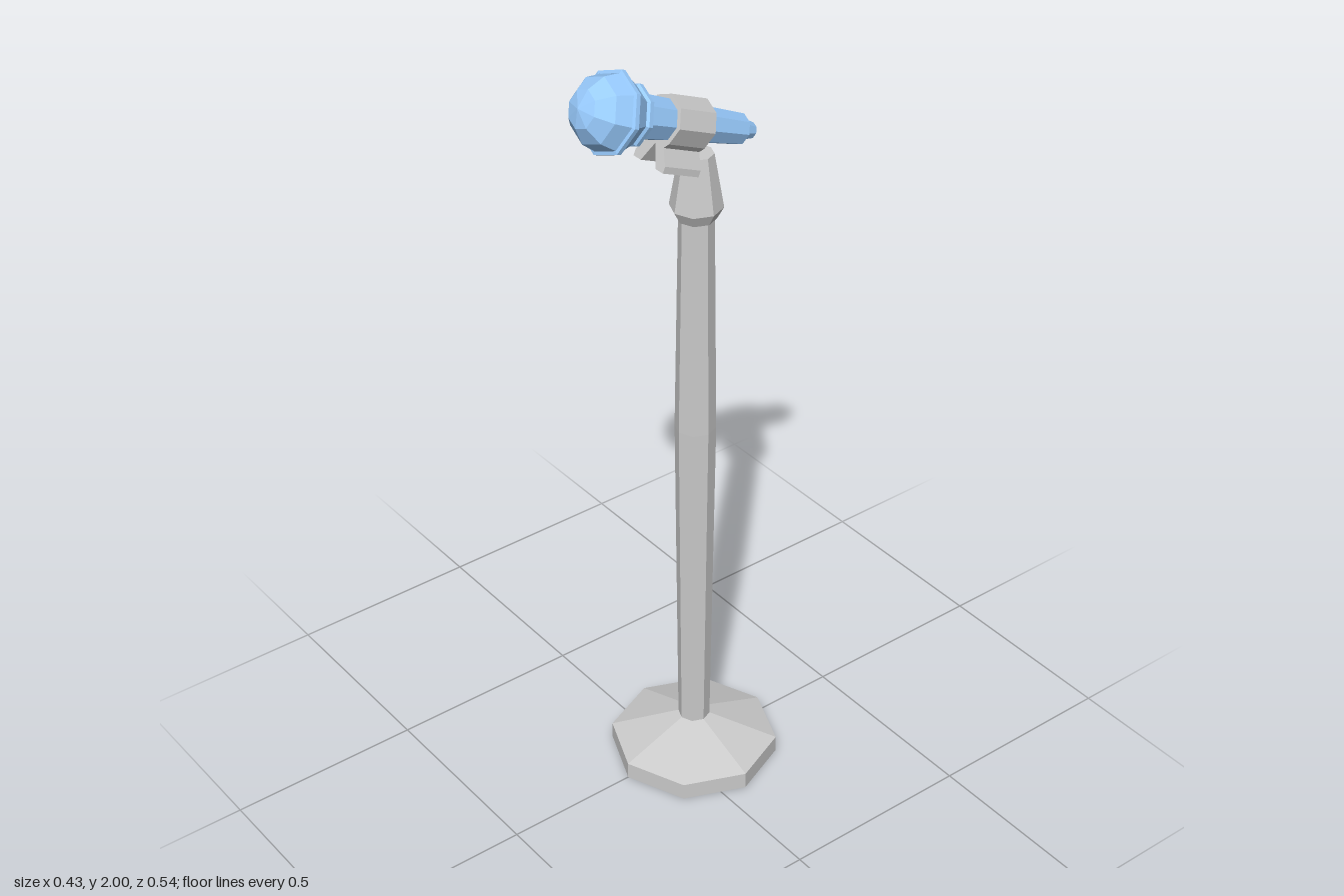
import * as THREE from 'three';

const grey = new THREE.MeshStandardMaterial({ color: 0xcccccc, flatShading: true, side: THREE.DoubleSide });
const blue = new THREE.MeshStandardMaterial({ color: 0x99ccff, flatShading: true, side: THREE.DoubleSide });

// Eight-sided turned part from [radius, height] pairs, bottom to top
function turned(name, profile, material) {
  const points = profile.map(([r, y]) => new THREE.Vector2(r, y));
  const mesh = new THREE.Mesh(new THREE.LatheGeometry(points, 8), material);
  mesh.name = name;
  return mesh;
}

export function createModel() {
  const model = new THREE.Group();
  model.name = 'microphoneOnStand';

  // Stand: weighted base, slightly swollen pole, tapered collar
  const stand = new THREE.Group();
  stand.name = 'stand';
  stand.position.z = -0.06;
  stand.add(
    turned('base', [[0, 0], [0.213, 0], [0.213, 0.045], [0.04, 0.11], [0, 0.11]], grey),
    turned('pole', [[0.04, 0.1], [0.05, 1.0], [0.042, 1.58]], grey),
    turned('collar', [[0, 1.57], [0.047, 1.57], [0.063, 1.6], [0.04, 1.735], [0, 1.735]], grey),
  );
  model.add(stand);

  // Tilted head group: local z runs along the microphone towards its ball
  const head = new THREE.Group();
  head.name = 'tiltedHead';
  head.position.set(0, 1.91, 0.18);
  head.rotation.x = -THREE.MathUtils.degToRad(23.3);
  model.add(head);

  // Microphone: tail plug, tapered handle, neck ring, cup, rim and ball
  const handle = turned('handle', [
    [0, -0.43], [0.019, -0.43], [0.026, -0.395], [0.037, -0.392],
    [0.053, -0.075], [0.072, -0.069], [0.073, -0.058], [0.068, -0.052],
    [0.09, -0.012],
  ], blue);
  const rim = turned('rim', [[0.09, -0.012], [0.098, -0.007], [0.098, 0.004], [0.09, 0.006]], blue);
  const ball = turned('ball', [[0.09, 0.004], [0.078, 0.045], [0.045, 0.078], [0, 0.09]], blue);
  for (const part of [handle, rim, ball]) {
    part.rotation.x = Math.PI / 2;
    head.add(part);
  }

  // Clip: octagonal sleeve over two splayed legs
  const half = [[0.042, 0.042], [0.06, 0], [0.042, -0.042], [0.03, -0.055], [0.053, -0.09], [0.053, -0.106], [0.027, -0.106]];
  const outline = [[0, 0.06], ...half, [0, -0.055], ...half.map(([x, y]) => [-x, y]).reverse()];
  const shape = new THREE.Shape(outline.map(([x, y]) => new THREE.Vector2(x, y)));
  const bore = [];
  for (let i = 0; i < 8; i++) {
    const a = i * Math.PI / 4;
    bore.push(new THREE.Vector2(0.047 * Math.cos(a), 0.047 * Math.sin(a)));
  }
  shape.holes.push(new THREE.Path(bore));
  const clip = new THREE.Mesh(new THREE.ExtrudeGeometry(shape, { depth: 0.108, bevelEnabled: false }), grey);
  clip.name = 'clip';
  clip.position.z = -0.267;
  head.add(clip);

  return model;
}
